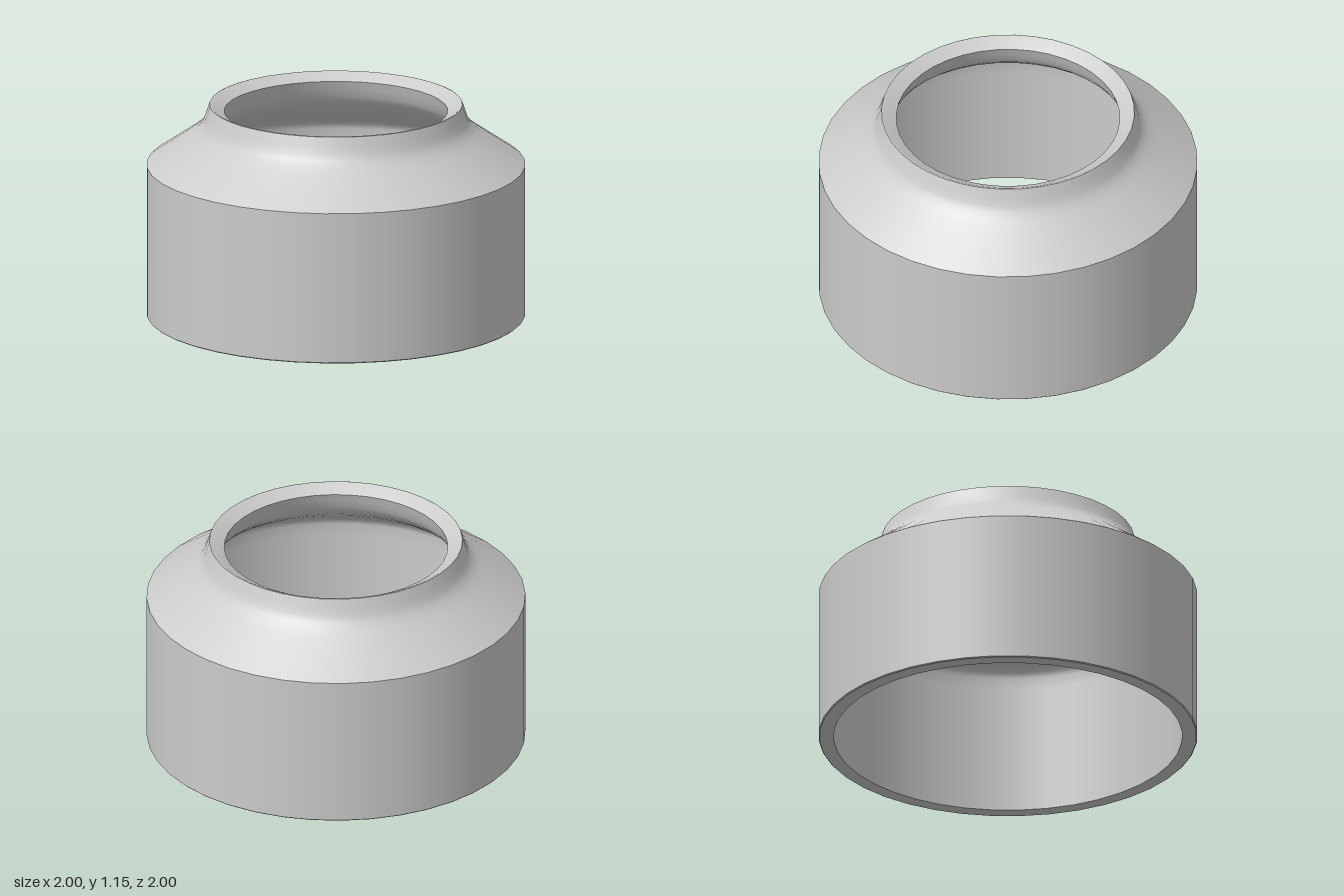
import * as THREE from 'three';

const SEGMENTS = 40;

// Smooth run of profile points [radius, height]; separate runs keep the edges between them sharp
function addRing(group, name, material, points) {
  const profile = points.map(([r, y]) => new THREE.Vector2(r, y));
  const mesh = new THREE.Mesh(new THREE.LatheGeometry(profile, SEGMENTS), material);
  mesh.name = name;
  group.add(mesh);
}

export function createModel() {
  const group = new THREE.Group();
  group.name = 'reducerCollar';
  const material = new THREE.MeshStandardMaterial({ color: 0xcccccc, side: THREE.DoubleSide });

  // Outside, from the base upward
  addRing(group, 'baseRim', material, [[0.92, 0], [0.995, 0]]);
  addRing(group, 'baseBevel', material, [[0.995, 0], [1, 0.005]]);
  addRing(group, 'outerWall', material, [[1, 0.005], [1, 0.82]]);
  addRing(group, 'shoulderAndNeck', material, [
    [1, 0.82], [0.89, 0.895], [0.79, 0.965], [0.745, 1.0], [0.715, 1.03],
    [0.698, 1.06], [0.684, 1.1], [0.668, 1.148],
  ]);

  // Mouth sloping down into the opening
  addRing(group, 'mouthRim', material, [[0.668, 1.148], [0.661, 1.15], [0.59, 1.11]]);

  // Inside, from the mouth downward
  addRing(group, 'innerNeckAndWall', material, [
    [0.59, 1.11], [0.605, 1.065], [0.622, 1.02], [0.645, 0.985], [0.685, 0.947],
    [0.74, 0.907], [0.89, 0.81], [0.91, 0.793], [0.92, 0.765], [0.92, 0.7], [0.92, 0],
  ]);
  return group;
}
